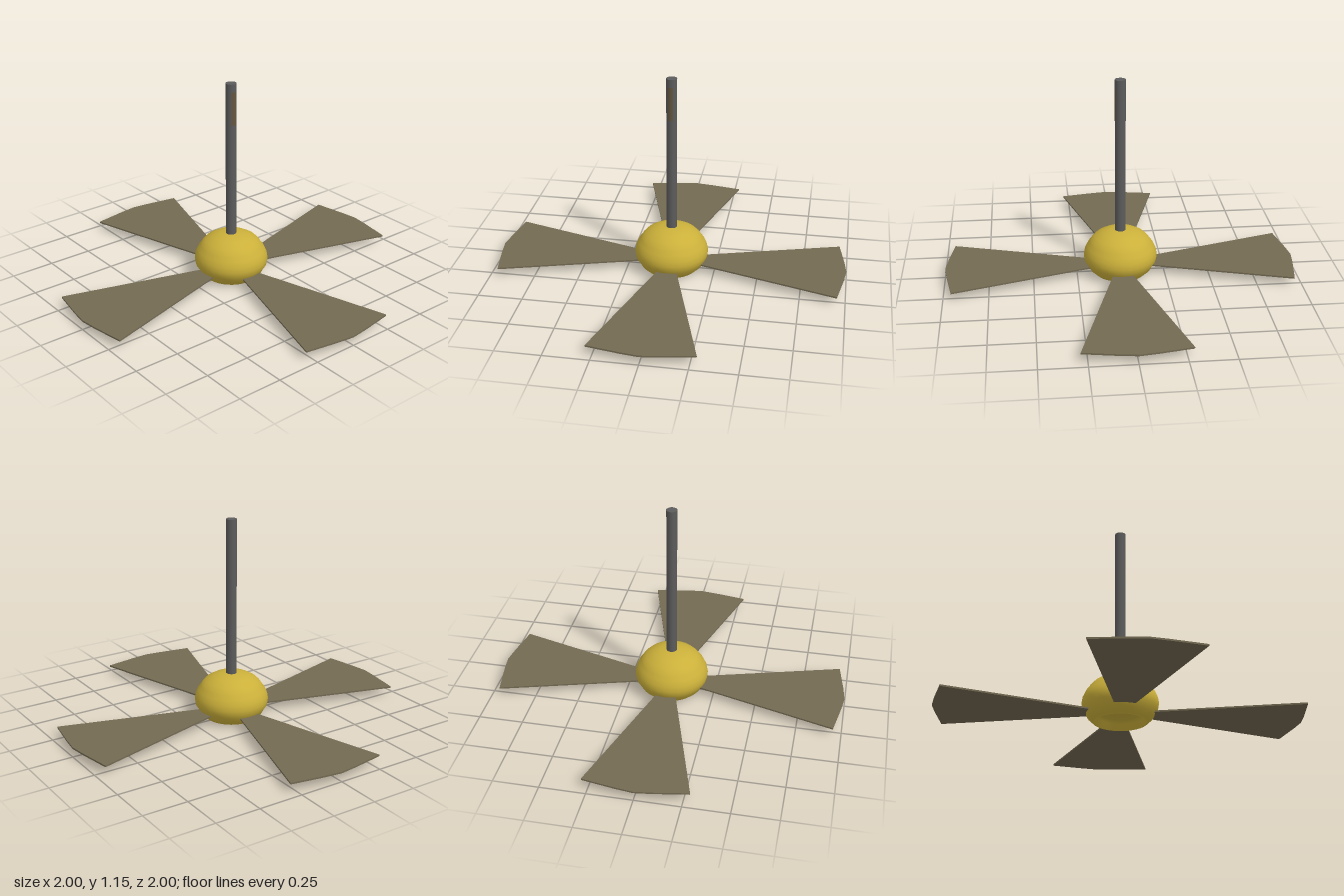
import * as THREE from 'three';

const material = (name, color, side = THREE.FrontSide) => {
  const m = new THREE.MeshStandardMaterial({ color, side });
  m.name = name;
  return m;
};

export function createModel() {
  const brass = material('brass', 0xcbb03a, THREE.DoubleSide);
  const wood = material('weathered wood', 0x736a52);
  const steel = material('dark steel', 0x5c5c5c);
  const rust = material('rust', 0x655740);

  const model = new THREE.Group();
  model.name = 'ceilingFan';
  const add = (name, geometry, mat) => {
    const mesh = new THREE.Mesh(geometry, mat);
    mesh.name = name;
    model.add(mesh);
    return mesh;
  };

  // Motor housing: stepped dome with an open, recessed underside
  const profile = [
    [0, 0.055], [0.1, 0.05], [0.125, 0.035], [0.138, 0], [0.15, 0.003],
    [0.178, 0.03], [0.19, 0.055], [0.204, 0.075], [0.209, 0.105],
    [0.204, 0.135], [0.19, 0.165], [0.172, 0.188], [0.168, 0.197],
    [0.145, 0.221], [0.105, 0.244], [0.06, 0.257], [0, 0.262],
  ].map(([r, y]) => new THREE.Vector2(r, y));
  add('motorHousing', new THREE.LatheGeometry(profile, 32), brass);

  // Down rod with a worn patch near its top
  const rod = add('downRod', new THREE.CylinderGeometry(0.03, 0.03, 0.91, 16), steel);
  rod.position.y = 0.695;
  const patch = add('rustPatch',
    new THREE.CylinderGeometry(0.0306, 0.0306, 0.19, 6, 1, true, Math.PI / 2 - 0.6, 1.0), rust);
  patch.position.y = 1.01;

  // Four flat blades that widen towards a shallow pointed tip
  const outline = new THREE.Shape([
    [0.14, -0.047], [0.953, -0.285], [0.985, -0.1], [0.998, 0],
    [0.985, 0.1], [0.953, 0.285], [0.14, 0.047],
  ].map(([x, y]) => new THREE.Vector2(x, y)));
  const bladeGeometry = new THREE.ExtrudeGeometry(outline, { depth: 0.009, bevelEnabled: false });
  bladeGeometry.rotateX(-Math.PI / 2);
  for (let i = 0; i < 4; i++) {
    const blade = add('blade' + (i + 1), bladeGeometry, wood);
    blade.position.y = 0.046;
    blade.rotation.y = (i * Math.PI) / 2;
  }

  return model;
}
